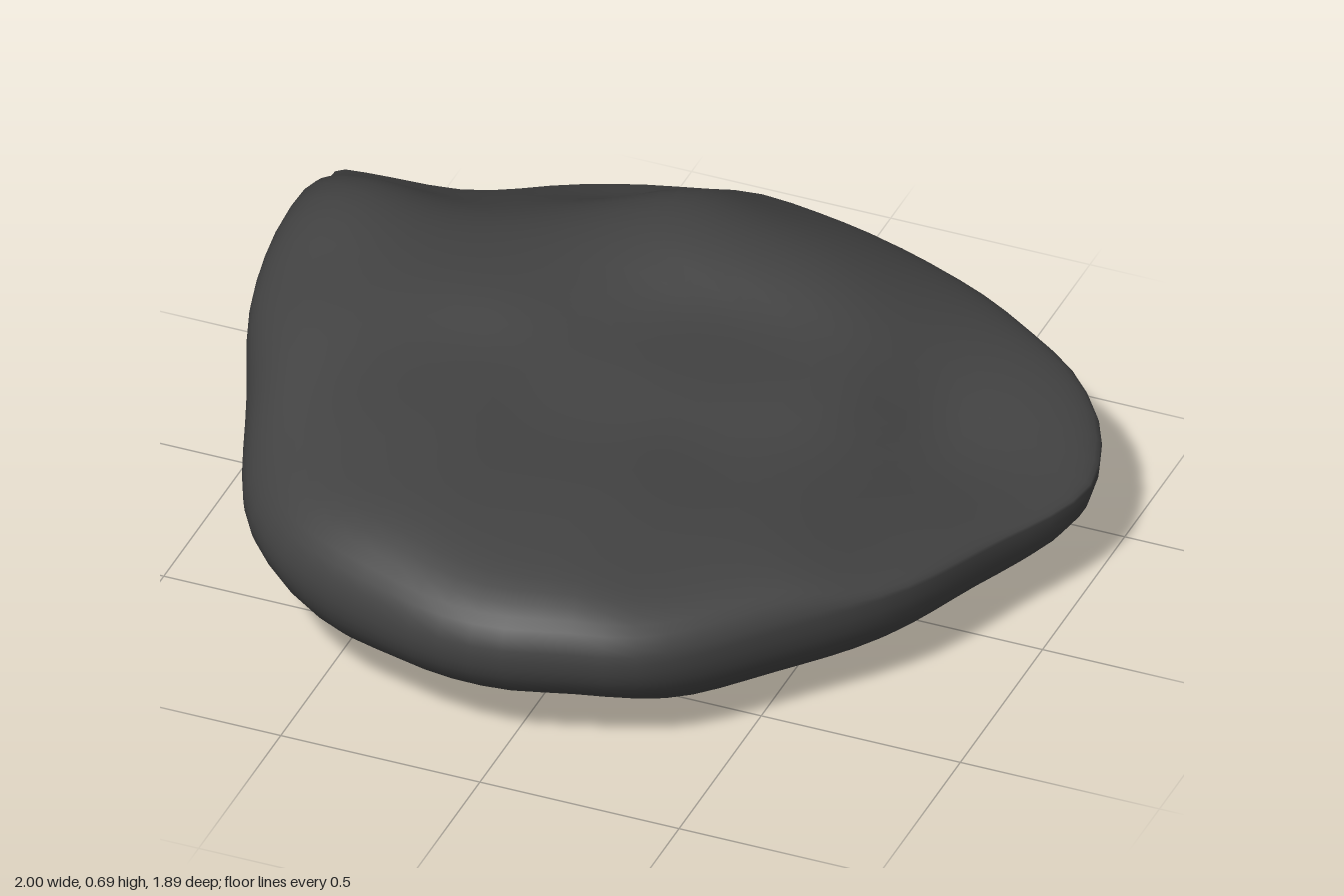
import * as THREE from 'three';

// Rim of the stone, seen from above: x, height, z
const RIM = [
  [1, .27, -.3], [.94, .29, -.5], [.83, .33, -.62], [.7, .35, -.7], [.51, .37, -.79],
  [.27, .38, -.86], [-.11, .37, -.94], [-.32, .35, -.94], [-.55, .31, -.9], [-.8, .29, -.8],
  [-.95, .37, -.7], [-1, .46, -.58], [-.97, .54, -.42], [-.96, .61, -.22], [-.96, .59, -.05],
  [-.93, .54, .15], [-.85, .46, .36], [-.73, .36, .66], [-.61, .33, .78], [-.48, .32, .85],
  [-.29, .31, .91], [-.16, .31, .94], [0, .31, .94], [.14, .31, .9], [.33, .3, .82],
  [.59, .3, .54], [.78, .3, .3], [.9, .28, 0], [.97, .27, -.17],
].map((p) => new THREE.Vector3(...p));

// Height samples of the top: x, z, height
const TOP = [
  [0, .8, .49], [-.4, .7, .53], [.4, .6, .45], [0, .4, .51], [-.5, .3, .56], [.4, .2, .45],
  [.7, .1, .36], [.8, -.2, .31], [.7, -.5, .39], [.4, -.6, .54], [.15, -.57, .63],
  [-.1, -.52, .67], [-.35, -.37, .64], [-.55, -.2, .63], [-.85, -.23, .77], [-.75, .12, .66],
  [0, -.1, .56], [.3, -.2, .5], [-.55, -.55, .52], [-.85, -.55, .5], [-.4, -.8, .42],
  [-.8, -.8, .35], [.1, -.8, .48], [.5, -.75, .43],
];

// Height samples of the underside: x, z, height
const UNDER = [
  [-.2, 0, 0], [.3, 0, .01], [.6, 0, .02], [0, .4, .01], [0, -.4, .03], [-.55, 0, .03],
  [-.55, -.35, .08], [-.8, -.5, .29], [-.78, -.1, .27], [-.75, .4, .22], [-.5, .4, .04],
  [0, .7, .08], [.1, -.8, .28], [.5, -.75, .2], [.75, -.35, .03], [-.55, -.75, .18],
  [.4, .4, .02], [.4, -.5, .06],
];

// Smooth blend of the samples around a point
function blend(samples, x, z) {
  let sum = 0, total = 0;
  for (const [sx, sz, h] of samples) {
    const w = Math.exp(-((x - sx) ** 2 + (z - sz) ** 2) / 0.05) + 1e-9;
    sum += w * h;
    total += w;
  }
  return sum / total;
}

export function createModel() {
  const SEG = 80, RINGS = 20;
  const curve = new THREE.CatmullRomCurve3(RIM, true, 'centripetal');
  const rim = curve.getSpacedPoints(SEG).slice(0, SEG);
  const center = new THREE.Vector2(-0.05, -0.05);
  const positions = [], index = [];

  // Rings run from the top centre over the rim to the underside centre
  for (let k = 0; k <= 2 * RINGS; k++) {
    const s = Math.sin((k / (2 * RINGS)) * Math.PI);
    const upper = k <= RINGS;
    const bulge = Math.sqrt(Math.max(0, 1 - s ** (upper ? 6 : 5)));
    for (const p of rim) {
      const x = center.x + (p.x - center.x) * s;
      const z = center.y + (p.z - center.y) * s;
      const h = blend(upper ? TOP : UNDER, x, z);
      positions.push(x, p.y + (h - p.y) * bulge, z);
    }
  }

  // Each pole closes on a single point
  const row = (k, j) => k * SEG + (j % SEG);
  for (let k = 0; k < 2 * RINGS; k++) {
    const last = k === 2 * RINGS - 1;
    for (let j = 0; j < SEG; j++) {
      const a = k === 0 ? 0 : row(k, j), b = row(k, j + 1);
      const c = row(k + 1, j), d = last ? row(k + 1, 0) : row(k + 1, j + 1);
      if (!last) index.push(a, c, d);
      if (k > 0) index.push(a, d, b);
    }
  }

  const geometry = new THREE.BufferGeometry();
  geometry.setAttribute('position', new THREE.Float32BufferAttribute(positions, 3));
  geometry.setIndex(index);
  geometry.computeVertexNormals();

  const stone = new THREE.Mesh(geometry, new THREE.MeshStandardMaterial({ color: 0x414141 }));
  stone.name = 'stone';
  const group = new THREE.Group();
  group.name = 'flatStone';
  group.add(stone);
  return group;
}
